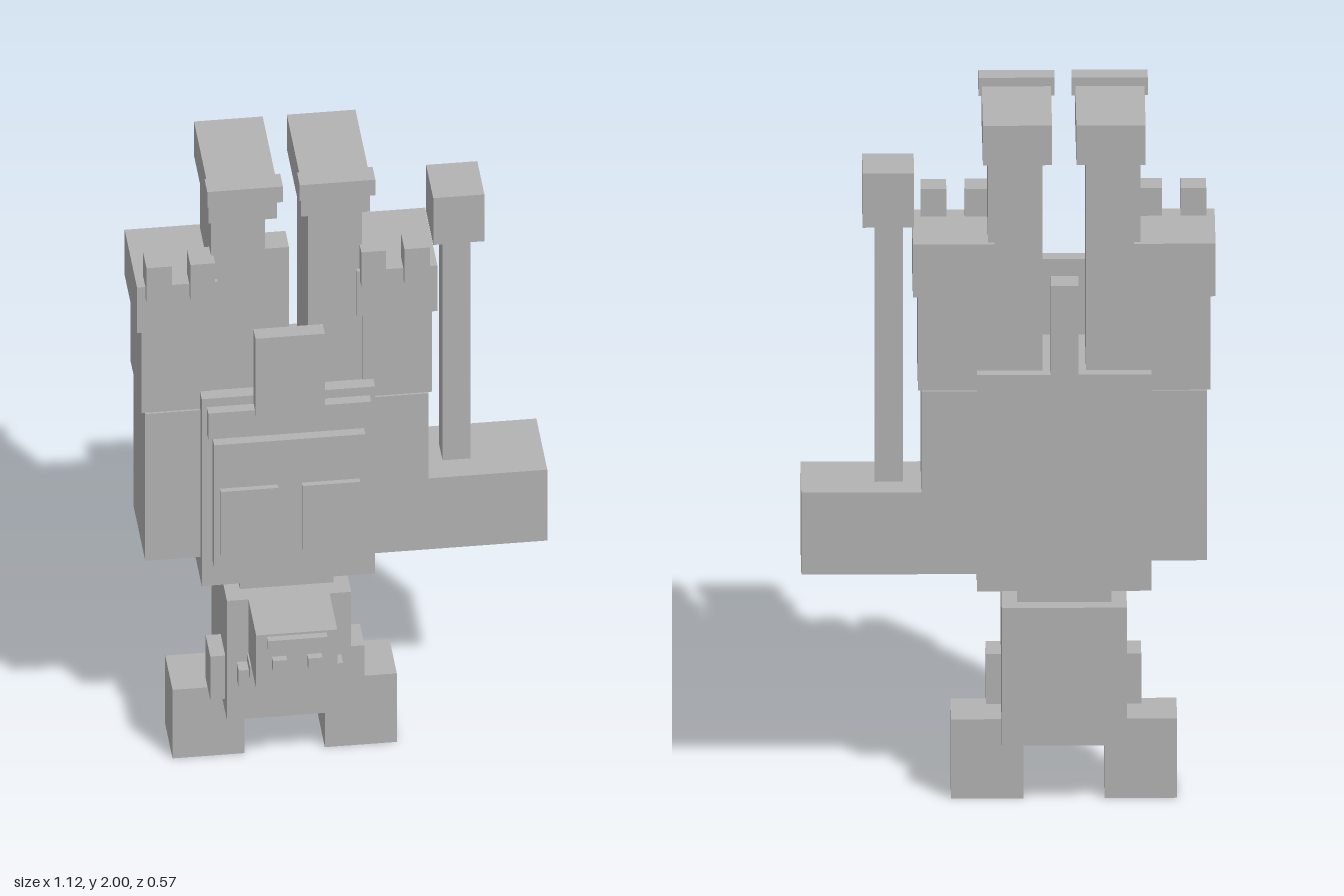
import * as THREE from 'three';

export function createModel() {
  const model = new THREE.Group();
  model.name = 'upsideDownFigure';
  const grey = new THREE.MeshStandardMaterial({ name: 'stoneGrey', color: 0xb3b3b3 });
  const cx = -0.152; // the body's own middle plane

  // box from its extents
  function box(name, x0, x1, y0, y1, z0, z1, parent = model) {
    const mesh = new THREE.Mesh(new THREE.BoxGeometry(x1 - x0, y1 - y0, z1 - z0), grey);
    mesh.position.set((x0 + x1) / 2, (y0 + y1) / 2, (z0 + z1) / 2);
    mesh.name = name;
    parent.add(mesh);
  }
  // box mirrored about the body's middle; near and far are distances from it
  function pair(name, near, far, y0, y1, z0, z1) {
    box(name + 'Left', cx + near, cx + far, y0, y1, z0, z1);
    box(name + 'Right', cx - far, cx - near, y0, y1, z0, z1);
  }
  // box centred on the body's middle
  function mid(name, half, y0, y1, z0, z1) {
    box(name, cx - half, cx + half, y0, y1, z0, z1);
  }

  // head, hanging at the bottom
  pair('horn', 0.11, 0.307, 0, 0.23, -0.16, 0);
  mid('head', 0.17, 0.185, 0.585, -0.245, 0.095);
  pair('ear', 0.165, 0.211, 0.23, 0.375, -0.042, 0.058);
  mid('muzzle', 0.111, 0.405, 0.585, 0.09, 0.263);
  mid('mouth', 0.082, 0.545, 0.578, 0.26, 0.284);
  pair('nostril', 0.029, 0.068, 0.477, 0.51, 0.26, 0.284);
  mid('brow', 0.143, 0.32, 0.378, 0.09, 0.136);
  pair('eye', 0.074, 0.115, 0.365, 0.405, 0.09, 0.158);

  // torso
  mid('neck', 0.128, 0.575, 0.64, -0.2, 0.045);
  mid('torso', 0.237, 0.63, 1.258, -0.235, 0.08);
  mid('chestPlate', 0.207, 0.71, 1.122, 0.075, 0.11);
  pair('chestPanel', 0.033, 0.191, 0.757, 0.975, 0.1, 0.126);
  mid('belt', 0.223, 1.143, 1.23, 0.075, 0.11);
  mid('loincloth', 0.095, 1.215, 1.477, 0.075, 0.12);
  mid('tail', 0.038, 1.02, 1.535, -0.285, -0.21);

  // arms, pointing up
  pair('upperArm', 0.23, 0.388, 0.707, 1.2, -0.206, 0.05);
  pair('forearm', 0.207, 0.397, 1.2, 1.48, -0.2, 0.044);
  pair('hand', 0.19, 0.411, 1.477, 1.63, -0.215, 0.054);
  pair('innerFinger', 0.2, 0.268, 1.595, 1.71, 0, 0.078);
  pair('outerFinger', 0.318, 0.388, 1.595, 1.71, 0, 0.078);

  // legs and feet, soles up
  pair('leg', 0.059, 0.207, 1.2, 1.87, -0.2, 0.042);
  pair('foot', 0.033, 0.221, 1.86, 1.975, -0.217, 0.098);
  pair('toe', 0.023, 0.23, 1.948, 2, 0.085, 0.145);

  // hammer beside the body
  const hammer = new THREE.Group();
  hammer.name = 'hammer';
  model.add(hammer);
  box('hammerHead', 0.08, 0.562, 0.667, 0.905, -0.2, 0.038, hammer);
  box('hammerHandle', 0.285, 0.362, 0.9, 1.665, -0.118, -0.04, hammer);
  box('hammerPommel', 0.255, 0.395, 1.658, 1.815, -0.158, -0.003, hammer);

  return model;
}
